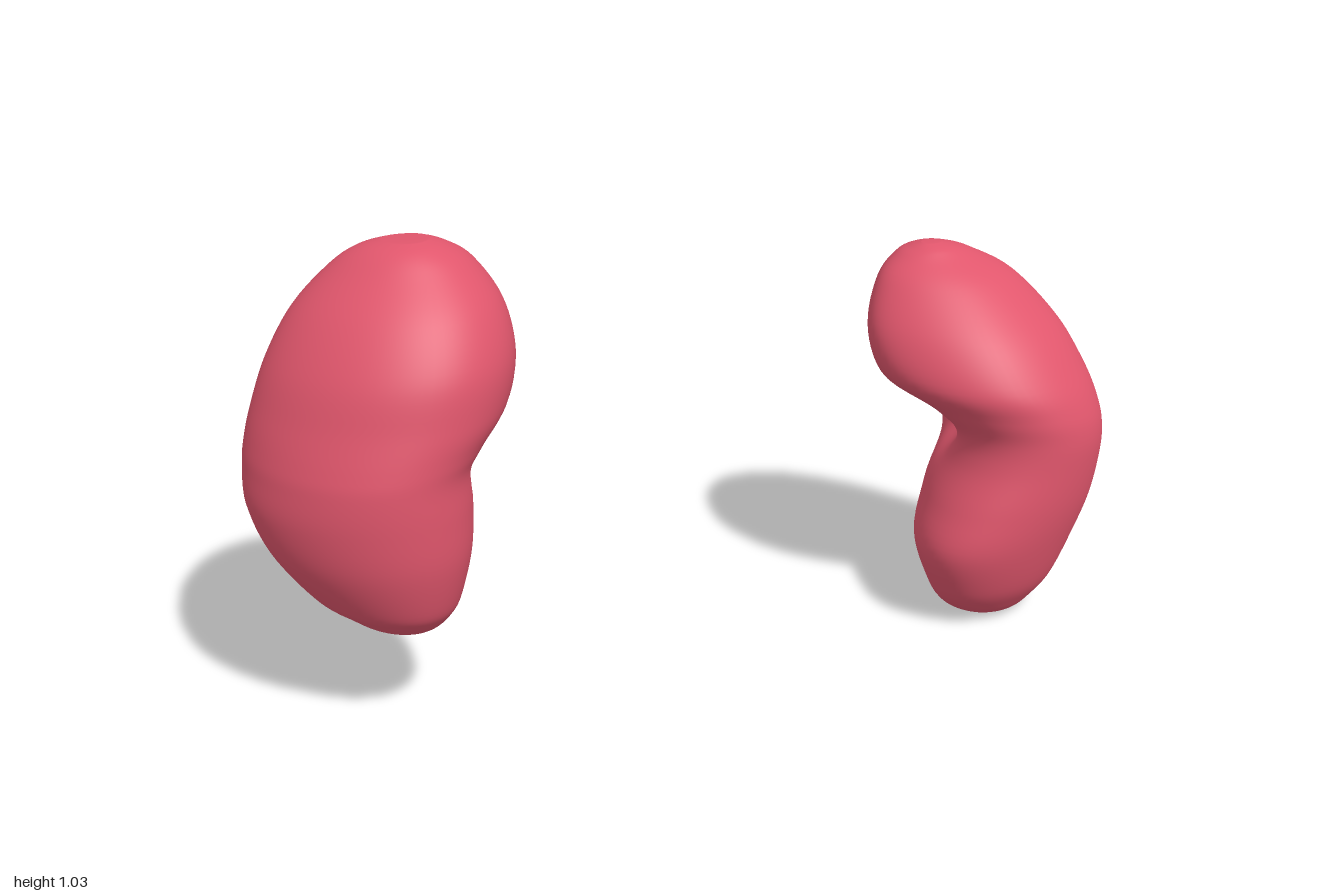
import * as THREE from 'three';

const SIDES = 72, STEPS = 6;

// Smooth interpolation between four neighbouring section values
function catmull(a, b, c, d, t) {
  return 0.5 * (2 * b + (c - a) * t + (2 * a - 5 * b + 4 * c - d) * t * t + (3 * b - a - 3 * c + d) * t * t * t);
}

// Rows are [y, xMin, xMax, zMin, zMax, slant, taper]: slant leans the inner half of the oval
// section, taper narrows it, and outerSlant leans the outer half.
// The hilum is a soft hollow on the inner side.
function kidneyGeometry(rows, outerSlant, hilum) {
  const sections = [];
  for (let i = 0; i < rows.length - 1; i++) {
    const near = [i - 1, i, i + 1, i + 2].map((k) => rows[Math.min(rows.length - 1, Math.max(0, k))]);
    for (let s = 0; s < STEPS; s++) {
      sections.push(rows[0].map((_, k) => catmull(near[0][k], near[1][k], near[2][k], near[3][k], s / STEPS)));
    }
  }
  sections.push(rows[rows.length - 1]);

  const positions = [], index = [];
  for (const [y, x0, x1, z0, z1, slant, taper] of sections) {
    for (let j = 0; j < SIDES; j++) {
      const a = (j / SIDES) * Math.PI * 2;
      const side = hilum.dir * -Math.cos(a);
      const inner = Math.max(0, side);
      const lean = THREE.MathUtils.lerp(outerSlant, slant, (1 + side) / 2);
      let x = (x0 + x1) / 2 + (x1 - x0) / 2 * Math.cos(a);
      const z = (z0 + z1) / 2 + (z1 - z0) / 2 * Math.sin(a + lean) * (1 - taper * inner * inner);
      // Press the hollow into the inner side only
      const rise = y - hilum.y - 0.3 * (z - hilum.z);
      x += hilum.dir * hilum.depth * Math.sqrt(inner) *
        Math.exp(-((rise / 0.065) ** 2) - ((z - hilum.z) / 0.08) ** 2);
      positions.push(x, y, z);
    }
  }
  const ring = (i, j) => i * SIDES + (j % SIDES);
  for (let i = 0; i < sections.length - 1; i++) {
    for (let j = 0; j < SIDES; j++) {
      index.push(ring(i, j), ring(i + 1, j), ring(i, j + 1));
      index.push(ring(i, j + 1), ring(i + 1, j), ring(i + 1, j + 1));
    }
  }
  // Close both poles
  for (const [i, up] of [[0, false], [sections.length - 1, true]]) {
    const [y, x0, x1, z0, z1] = sections[i];
    const pole = positions.length / 3;
    positions.push((x0 + x1) / 2, y, (z0 + z1) / 2);
    for (let j = 0; j < SIDES; j++) {
      if (up) index.push(pole, ring(i, j + 1), ring(i, j));
      else index.push(pole, ring(i, j), ring(i, j + 1));
    }
  }
  const geometry = new THREE.BufferGeometry();
  geometry.setAttribute('position', new THREE.Float32BufferAttribute(positions, 3));
  geometry.setIndex(index);
  geometry.computeVertexNormals();
  return geometry;
}

export function createModel() {
  const group = new THREE.Group();
  group.name = 'kidneys';
  const tissue = new THREE.MeshStandardMaterial({ color: 0xe0566c });
  tissue.name = 'kidney red';

  // Lower, longer kidney on the left
  const leftRows = [
    [0.0, 0.69, 0.75, 0.07, 0.125, -0.1, 0],
    [0.015, 0.635, 0.8, 0.025, 0.16, -0.15, 0],
    [0.045, 0.585, 0.84, -0.02, 0.188, -0.2, 0],
    [0.1, 0.55, 0.885, -0.065, 0.222, -0.25, 0],
    [0.2, 0.52, 0.935, -0.12, 0.252, -0.28, 0],
    [0.3, 0.555, 0.975, -0.155, 0.265, -0.25, 0],
    [0.4, 0.6, 0.995, -0.185, 0.267, -0.2, 0],
    [0.47, 0.6, 0.998, -0.205, 0.267, -0.15, 0.03],
    [0.53, 0.545, 0.988, -0.22, 0.262, -0.08, 0.1],
    [0.6, 0.465, 0.965, -0.23, 0.24, 0.0, 0.2],
    [0.7, 0.45, 0.918, -0.235, 0.168, 0.06, 0.25],
    [0.8, 0.495, 0.835, -0.222, 0.055, 0.05, 0.15],
    [0.85, 0.55, 0.745, -0.192, -0.03, 0, 0.05],
    [0.868, 0.585, 0.695, -0.16, -0.06, 0, 0],
    [0.877, 0.61, 0.655, -0.125, -0.09, 0, 0],
  ];
  // Higher, shorter kidney on the right
  const rightRows = [
    [0.22, -0.74, -0.67, 0.0, 0.06, 0.1, 0],
    [0.23, -0.79, -0.635, -0.05, 0.095, 0.1, 0],
    [0.26, -0.84, -0.605, -0.11, 0.13, 0.12, 0],
    [0.3, -0.892, -0.585, -0.155, 0.155, 0.15, 0],
    [0.4, -0.963, -0.56, -0.205, 0.182, 0.18, 0],
    [0.5, -0.996, -0.55, -0.245, 0.19, 0.18, 0],
    [0.58, -0.993, -0.545, -0.262, 0.19, 0.16, 0],
    [0.63, -0.985, -0.51, -0.267, 0.187, 0.14, 0.03],
    [0.7, -0.965, -0.452, -0.267, 0.178, 0.1, 0.06],
    [0.8, -0.925, -0.425, -0.263, 0.158, 0.06, 0.06],
    [0.9, -0.86, -0.437, -0.25, 0.1, 0.03, 0.03],
    [0.98, -0.775, -0.485, -0.215, 0.02, 0, 0],
    [1.015, -0.72, -0.535, -0.18, -0.025, 0, 0],
    [1.03, -0.67, -0.575, -0.145, -0.065, 0, 0],
  ];

  const leftHilum = { y: 0.45, z: -0.03, depth: 0.09, dir: 1 };
  const rightHilum = { y: 0.57, z: -0.06, depth: 0.09, dir: -1 };
  const left = new THREE.Mesh(kidneyGeometry(leftRows, 0, leftHilum), tissue);
  left.name = 'leftKidney';
  const right = new THREE.Mesh(kidneyGeometry(rightRows, 0.33, rightHilum), tissue);
  right.name = 'rightKidney';
  group.add(left, right);
  return group;
}
